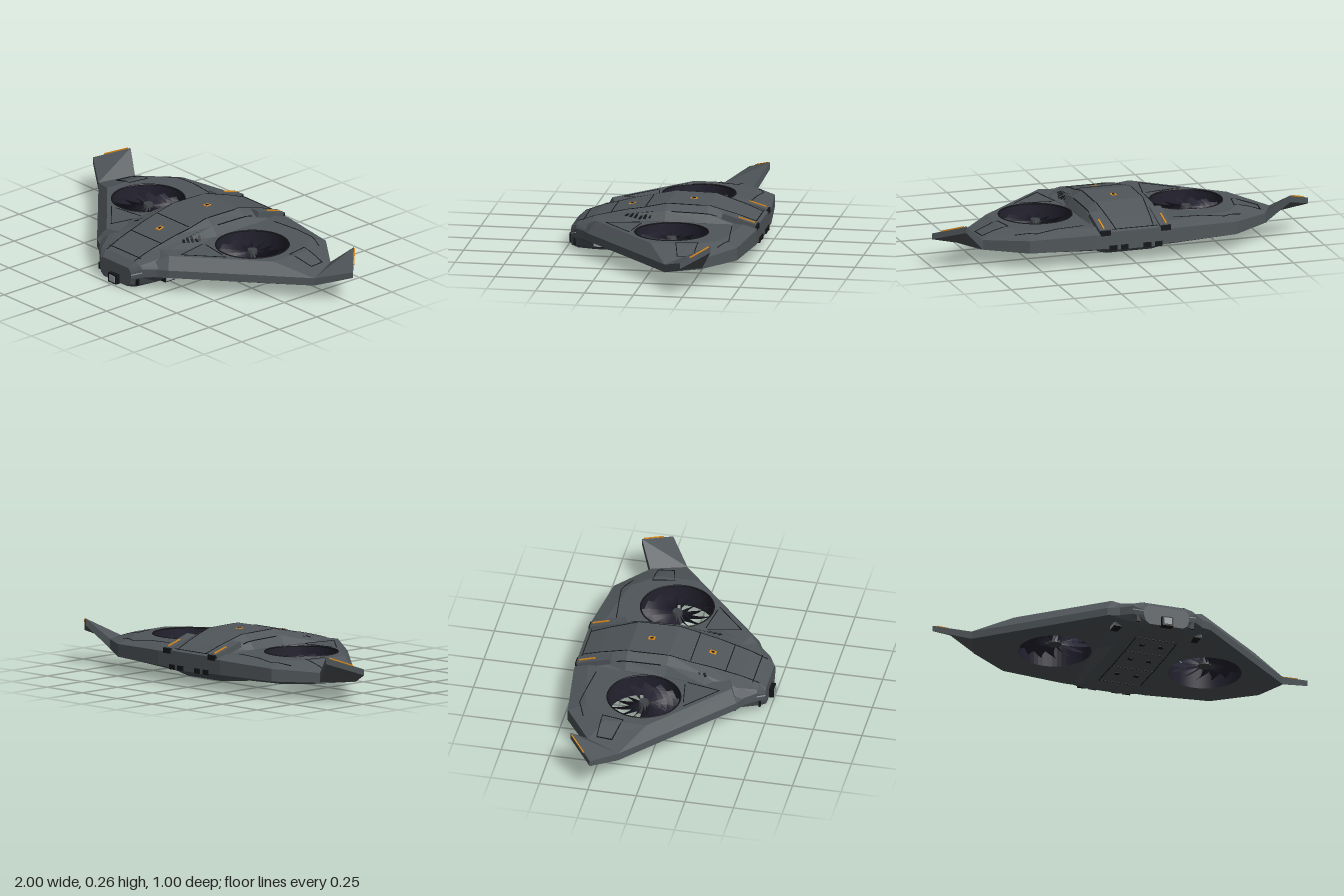
import * as THREE from 'three';
import { mergeGeometries } from 'three/addons/utils/BufferGeometryUtils.js';
import { ParametricGeometry } from 'three/addons/geometries/ParametricGeometry.js';

const V = (x, y, z) => new THREE.Vector3(x, y, z);
const FAN = { x: 0.4, z: -0.09, r: 0.185 };

// Flat-faced geometry from a list of corner points, three per triangle
function facets(points) {
  const g = new THREE.BufferGeometry().setFromPoints(points);
  g.computeVertexNormals();
  return g;
}

// Skin between closed rings of equal length, with optional end caps
function loft(rings, caps) {
  const t = [], n = rings[0].length;
  for (let i = 0; i < rings.length - 1; i++)
    for (let j = 0; j < n; j++) {
      const k = (j + 1) % n, L = rings[i], U = rings[i + 1];
      t.push(L[j], L[k], U[k], L[j], U[k], U[j]);
    }
  if (caps) {
    const A = rings[0], B = rings[rings.length - 1];
    for (let j = 1; j < n - 1; j++) t.push(A[0], A[j + 1], A[j], B[0], B[j], B[j + 1]);
  }
  return facets(t);
}

// Mirror a geometry across x = 0, keeping faces outward
function mirror(geo) {
  const g = geo.index ? geo.toNonIndexed() : geo.clone();
  const p = g.attributes.position, pts = [];
  for (let i = 0; i < p.count; i += 3)
    for (const k of [0, 2, 1]) pts.push(V(-p.getX(i + k), p.getY(i + k), p.getZ(i + k)));
  return facets(pts);
}

// Bar from a to b
function bar(a, b, w = 0.004, h = 0.004) {
  const o = new THREE.Object3D();
  o.position.copy(a).add(b).multiplyScalar(0.5);
  o.lookAt(b);
  o.updateMatrix();
  return new THREE.BoxGeometry(w, h, a.distanceTo(b)).applyMatrix4(o.matrix);
}

const box = (w, h, d, x, y, z) => new THREE.BoxGeometry(w, h, d).translate(x, y, z);

export function createModel() {
  const model = new THREE.Group();
  model.name = 'twinFanFlyingWing';
  const mat = (name, color, double) => {
    const m = new THREE.MeshStandardMaterial({ color });
    m.name = name;
    if (double) m.side = THREE.DoubleSide;
    return m;
  };
  const hull = mat('hullGrey', 0x50565a), dark = mat('panelBlack', 0x141517);
  const fanMat = mat('fanNavy', 0x23222f, true), hubMat = mat('hubGrey', 0x3f4246);
  const orange = mat('markerOrange', 0xd98a1c), light = mat('lensGrey', 0x9aa0a6);
  const add = (name, geo, m) => {
    const mesh = new THREE.Mesh(geo, m);
    mesh.name = name;
    model.add(mesh);
    return mesh;
  };
  const pair = (name, geo, m) => [add(name + 'Left', geo, m), add(name + 'Right', mirror(geo), m)];

  // Wing: rim x, rim z, rim bottom, rim top, deck x, deck z
  const plan = [
    [0, 0.43, 0.07, 0.115, 0, 0.3], [0.14, 0.43, 0.07, 0.115, 0.15, 0.3],
    [0.275, 0.36, 0.085, 0.125, 0.24, 0.326], [0.62, 0.054, 0.085, 0.125, 0.59, 0.02],
    [0.83, -0.13, 0.085, 0.125, 0.64, -0.024], [0.76, -0.3, 0.09, 0.14, 0.64, -0.24],
    [0.55, -0.45, 0.09, 0.155, 0.53, -0.36], [0.22, -0.49, 0.09, 0.165, 0.22, -0.42],
    [0, -0.49, 0.09, 0.165, 0, -0.42],
  ];
  const ring = (f) => {
    const half = plan.map(f);
    return [...half, ...half.slice(1, -1).reverse().map((p) => V(-p.x, p.y, p.z))];
  };
  const deck = ring((p) => V(p[4], 0.185, p[5])), keel = ring((p) => V(p[4], 0.065, p[5]));
  const surfaces = [add('wingRim', loft([keel, ring((p) => V(p[0], p[2], p[1])),
    ring((p) => V(p[0], p[3], p[1])), deck]), hull)];
  // Decks with round fan openings; s is +1 for the top and -1 for the bottom
  for (const s of [1, -1]) {
    const shape = new THREE.Shape(deck.map((p) => new THREE.Vector2(p.x, -s * p.z)));
    for (const k of [1, -1]) {
      const hole = new THREE.Path();
      hole.absarc(k * FAN.x, -s * FAN.z, FAN.r, 0, Math.PI * 2, true);
      shape.holes.push(hole);
    }
    const g = new THREE.ShapeGeometry(shape, 24).rotateX(-s * Math.PI / 2);
    surfaces.push(add(s > 0 ? 'upperDeck' : 'lowerDeck', g.translate(0, s > 0 ? 0.185 : 0.065, 0), hull));
  }

  // Body: z, then half-section points from belly to spine
  const sections = [
    [-0.49, [0.1, 0.08], [0.14, 0.085], [0.19, 0.095], [0.19, 0.16], [0.16, 0.17], [0.12, 0.175]],
    [-0.38, [0.12, 0.035], [0.16, 0.045], [0.2, 0.08], [0.2, 0.18], [0.16, 0.2], [0.12, 0.215]],
    [-0.23, [0.125, 0.018], [0.17, 0.03], [0.205, 0.07], [0.205, 0.187], [0.175, 0.23], [0.125, 0.26]],
    [-0.02, [0.125, 0.008], [0.17, 0.02], [0.21, 0.07], [0.21, 0.187], [0.18, 0.235], [0.125, 0.264]],
    [0.18, [0.125, 0.005], [0.17, 0.02], [0.24, 0.07], [0.24, 0.187], [0.18, 0.205], [0.12, 0.222]],
    [0.35, [0.12, 0.005], [0.17, 0.03], [0.26, 0.085], [0.26, 0.125], [0.2, 0.165], [0.115, 0.178]],
    [0.44, [0.11, 0.008], [0.14, 0.03], [0.165, 0.075], [0.165, 0.12], [0.15, 0.135], [0.11, 0.145]],
    [0.475, [0.09, 0.015], [0.11, 0.03], [0.12, 0.06], [0.12, 0.09], [0.11, 0.105], [0.1, 0.115]],
  ];
  surfaces.push(add('body', loft(sections.map(([z, ...h]) => [
    ...h.map(([x, y]) => V(x, y, z)), ...h.slice().reverse().map(([x, y]) => V(-x, y, z))]), true), hull));

  // Winglets: top and bottom corners, folded along the root-to-peak crease
  const [A, B, C, D] = [V(0.83, 0.125, -0.13), V(1, 0.18, -0.24), V(0.86, 0.24, -0.37), V(0.75, 0.14, -0.305)];
  const [a, b, c, d] = [V(0.83, 0.085, -0.13), V(1, 0.15, -0.24), V(0.86, 0.205, -0.37), V(0.75, 0.09, -0.305)];
  pair('winglet', facets([A, B, C, A, C, D, a, c, b, a, d, c,
    a, b, B, a, B, A, b, c, C, b, C, B, c, d, D, c, D, C, d, a, A, d, A, D]), hull);
  pair('wingletMarker', bar(V(0.872, 0.237, -0.362), V(0.96, 0.2, -0.28), 0.006, 0.006), orange);

  // Fans: duct, lip, twisted blades and hub
  const at = (g, y) => g.translate(FAN.x, y, FAN.z);
  pair('fanDuct', at(new THREE.CylinderGeometry(FAN.r, FAN.r, 0.12, 48, 1, true), 0.125), fanMat);
  pair('fanLip', at(new THREE.TorusGeometry(FAN.r, 0.004, 6, 48).rotateX(Math.PI / 2), 0.185), dark);
  const blades = [];
  for (let i = 0; i < 14; i++)
    blades.push(new ParametricGeometry((u, v, out) => {
      const r = 0.025 + 0.155 * u;
      const t = i * Math.PI / 7 + (v - 0.5) * 0.365 + 0.12 * Math.sin(u * Math.PI);
      out.set(Math.cos(t) * r, (v - 0.5) * 0.045, Math.sin(t) * r);
    }, 5, 3));
  pair('fanBlades', at(mergeGeometries(blades), 0.125), fanMat);
  pair('fanHub', at(new THREE.CylinderGeometry(0.024, 0.036, 0.06, 20), 0.13), hubMat);

  // Drape points onto the skin, from above (s = 1) or below (s = -1)
  const ray = new THREE.Raycaster();
  const drape = (x, z, s = 1) => {
    ray.set(V(x, s, z), V(0, -s, 0));
    const hit = ray.intersectObjects(surfaces)[0];
    return V(x, hit ? hit.point.y : 0.12, z);
  };
  const seams = (path, s = 1, w = 0.004) => {
    const out = [];
    for (let i = 0; i < path.length - 1; i++) {
      const [x0, z0] = path[i], [x1, z1] = path[i + 1];
      const n = Math.ceil(Math.hypot(x1 - x0, z1 - z0) / 0.04);
      const p = (k) => drape(x0 + (x1 - x0) * k / n, z0 + (z1 - z0) * k / n, s);
      for (let k = 0; k < n; k++) out.push(bar(p(k), p(k + 1), w));
    }
    return mergeGeometries(out);
  };

  // Panel seams on top and belly
  for (const z of [-0.47, 0.09, 0.27, 0.41])
    add('spineSeam', seams([[-0.12, z], [0.12, z]]), dark);
  const wingSeams = [
    [[0.1, -0.47], [0.128, -0.2], [0.128, 0.1], [0.105, 0.44]],
    [[0.175, -0.28], [0.18, -0.05]],
    [[0.235, 0.1], [0.27, 0.27], [0.44, 0.12]],
    [[0.25, 0.09], [0.41, 0.115]],
    [[0.62, -0.15], [0.6, -0.26], [0.74, -0.26], [0.75, -0.18], [0.62, -0.15]],
    [[0.24, -0.37], [0.5, -0.4], [0.6, -0.36]],
  ];
  for (const path of wingSeams) pair('panelSeam', seams(path), dark);
  for (const z of [-0.25, -0.05, 0.15, 0.32])
    add('bellySeam', seams([[-0.11, z], [0.11, z]], -1), dark);
  pair('bellySideSeam', seams([[0.11, -0.25], [0.11, 0.32]], -1), dark);
  for (const z of [-0.15, 0.05, 0.23]) pair('bellyPad', seams([[0.05, z], [0.05, z + 0.025]], -1, 0.025), dark);

  // Orange hatch markers on the spine
  for (const z of [-0.135, 0.18]) {
    add('hatchMarker', seams([[0, z - 0.017], [0, z + 0.017]], 1, 0.028), orange);
    add('hatchMarkerCentre', seams([[0, z - 0.008], [0, z + 0.008]], 1, 0.01).translate(0, 0.002, 0), dark);
  }

  // Shoulder louvres
  for (let i = 0; i < 6; i++) {
    const z = 0.05 + i * 0.024, w = 0.04 - Math.abs(i - 2) * 0.007;
    pair('shoulderLouvre', seams([[0.17, z], [0.17 + w, z + 0.012]], 1, 0.013), dark);
  }

  // Tail pods with orange strips, and rear outlets
  pair('tailPod', bar(V(0.16, 0.222, -0.31), V(0.16, 0.172, -0.48), 0.06, 0.03), hull);
  pair('tailPodStrip', bar(V(0.165, 0.216, -0.39), V(0.165, 0.191, -0.475), 0.008, 0.006), orange);
  pair('tailPodOutlet', box(0.054, 0.026, 0.016, 0.16, 0.17, -0.483), dark);
  for (const x of [0.06, 0.12]) pair('rearOutlet', box(0.04, 0.025, 0.02, x, 0.092, -0.485), dark);

  // Nose camera, side sensors, slots and running lights
  add('cameraHousing', box(0.06, 0.05, 0.035, 0, 0.034, 0.48), dark);
  add('cameraLens', box(0.042, 0.034, 0.006, 0, 0.034, 0.498), light);
  pair('sideSensor', box(0.04, 0.026, 0.066, 0.21, 0.055, 0.31), dark);
  pair('sideSensorLens', box(0.004, 0.016, 0.056, 0.231, 0.055, 0.31), light);
  pair('noseSlot', box(0.02, 0.036, 0.01, 0.142, 0.048, 0.451), dark);
  pair('runningLight', bar(V(0.121, 0.083, 0.475), V(0.166, 0.1, 0.44), 0.004, 0.005), light);
  return model;
}
